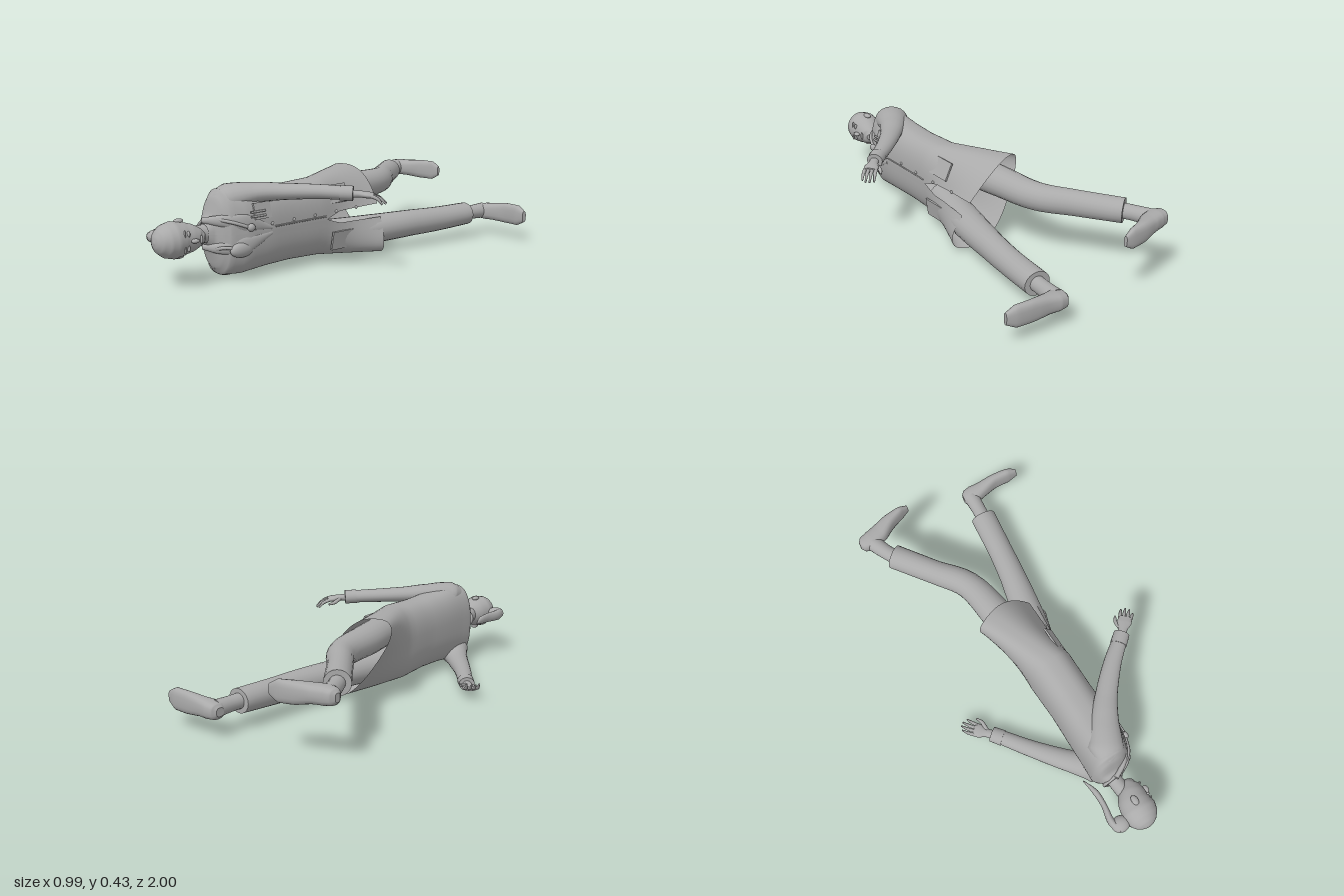
import * as THREE from 'three';

const grey = new THREE.MeshStandardMaterial({ color: 0xaaaaaa, side: THREE.DoubleSide });
grey.name = 'grey';

const spow = (v, e) => Math.sign(v) * Math.abs(v) ** e;
const lerp = THREE.MathUtils.lerp;

// Joins rings of n points each into a skin
function skin(rings, closed, caps) {
  const n = rings[0].length, pos = [], idx = [];
  rings.forEach(r => r.forEach(p => pos.push(p.x, p.y, p.z)));
  for (let i = 0; i < rings.length - 1; i++) {
    for (let j = 0; j < (closed ? n : n - 1); j++) {
      const k = (j + 1) % n, a = i * n, b = a + n;
      idx.push(a + j, b + j, b + k, a + j, b + k, a + k);
    }
  }
  if (caps) [rings[0], rings[rings.length - 1]].forEach((r, end) => {
    const base = pos.length / 3, c = new THREE.Vector3();
    r.forEach(p => { c.addScaledVector(p, 1 / n); pos.push(p.x, p.y, p.z); });
    pos.push(c.x, c.y, c.z);
    for (let j = 0; j < n; j++) {
      const k = (j + 1) % n;
      idx.push(base + n, base + (end ? k : j), base + (end ? j : k));
    }
  });
  const g = new THREE.BufferGeometry();
  g.setAttribute('position', new THREE.Float32BufferAttribute(pos, 3));
  g.setIndex(idx);
  g.computeVertexNormals();
  return g;
}

// Smooth limb through stations [x, y, z, half width, half height]
function limb(stations, { sides = 20, steps = 5, e = 1 } = {}) {
  const path = new THREE.CatmullRomCurve3(stations.map(s => new THREE.Vector3(s[0], s[1], s[2])));
  const total = (stations.length - 1) * steps, rings = [], Y = new THREE.Vector3(0, 1, 0);
  for (let i = 0; i <= total; i++) {
    const t = i / total, f = t * (stations.length - 1), k = Math.min(Math.floor(f), stations.length - 2);
    const a = lerp(stations[k][3], stations[k + 1][3], f - k), b = lerp(stations[k][4], stations[k + 1][4], f - k);
    const p = path.getPoint(t), T = path.getTangent(t);
    const side = T.clone().cross(Y).normalize(), up = side.clone().cross(T);
    rings.push(Array.from({ length: sides }, (_, j) => {
      const q = j / sides * Math.PI * 2;
      return p.clone().addScaledVector(side, a * spow(Math.cos(q), e)).addScaledVector(up, b * spow(Math.sin(q), e));
    }));
  }
  return skin(rings, true, true);
}

// Coat sections: [z, centre x, half depth, half width]
const MID = 0.22, E = 0.8;
const coat = [
  [0.735, -0.03, 0.042, 0.045], [0.705, -0.03, 0.058, 0.08], [0.685, -0.02, 0.08, 0.155],
  [0.66, -0.012, 0.1, 0.195], [0.58, 0.005, 0.112, 0.198], [0.45, 0.012, 0.115, 0.185],
  [0.3, 0.015, 0.112, 0.18], [0.12, 0.015, 0.115, 0.187], [-0.05, 0.01, 0.12, 0.197], [-0.22, 0.01, 0.13, 0.205]];

function section(z) {
  let k = 0;
  while (k < coat.length - 2 && z < coat[k + 1][0]) k++;
  const f = (z - coat[k][0]) / (coat[k + 1][0] - coat[k][0]);
  return [1, 2, 3].map(i => lerp(coat[k][i], coat[k + 1][i], f));
}
const flare = z => THREE.MathUtils.clamp((0.12 - z) / 0.34, 0, 1);

// The stride swings the two sides of the skirt apart
function coatPoint(z, q) {
  const [cx, a, b] = section(z), t = flare(z);
  const c = spow(Math.cos(q), E), s = spow(Math.sin(q), E);
  return new THREE.Vector3(cx + a * c - 0.6 * t * b * s, MID + b * s, z - t * t * 0.045 * s * c);
}
function frontX(z, y) {
  const s = (y - MID) / section(z)[2];
  const q = Math.asin(spow(THREE.MathUtils.clamp(s, -1, 1), 1 / E));
  return coatPoint(z, q).x;
}
function coatGeometry() {
  const rings = [], n = 56;
  for (let k = 0; k < coat.length - 1; k++) {
    for (let i = k ? 1 : 0; i <= 4; i++) {
      const z = lerp(coat[k][0], coat[k + 1][0], i / 4), gap = 0.09 * Math.min(1, flare(z) * 4);
      rings.push(Array.from({ length: n + 1 }, (_, j) => coatPoint(z, lerp(gap, Math.PI * 2 - gap, j / n))));
    }
  }
  return skin(rings, false, false);
}

export function createModel() {
  const root = new THREE.Group();
  root.name = 'lyingFigure';
  const add = (name, geo, x = 0, y = 0, z = 0, s = [1, 1, 1]) => {
    const m = new THREE.Mesh(geo, grey);
    m.name = name;
    m.position.set(x, y, z);
    m.scale.set(...s);
    root.add(m);
    return m;
  };
  const ball = (name, x, y, z, s) => add(name, new THREE.SphereGeometry(1, 20, 14), x, y, z, s);

  add('coat', coatGeometry());

  // Head, neck and face
  add('neck', limb([[-0.03, MID, 0.69, 0.045, 0.05], [-0.03, MID, 0.74, 0.036, 0.04], [-0.025, MID, 0.82, 0.036, 0.042]]));
  add('head', limb([[0.034, MID, 0.768, 0.012, 0.014], [0.022, MID, 0.78, 0.038, 0.036], [0.004, MID, 0.815, 0.06, 0.06],
    [-0.012, MID, 0.86, 0.076, 0.074], [-0.018, MID, 0.91, 0.084, 0.083], [-0.02, MID, 0.95, 0.075, 0.073],
    [-0.02, MID, 0.98, 0.052, 0.05], [-0.02, MID, 0.995, 0.025, 0.025], [-0.02, MID, 1.0, 0.002, 0.002]], { sides: 28 }));
  ball('nose', 0.066, MID, 0.845, [0.014, 0.01, 0.02]);
  ball('mouth', 0.058, MID, 0.806, [0.007, 0.02, 0.006]);
  for (const s of [1, -1]) {
    ball('eye', 0.054, MID + s * 0.032, 0.872, [0.009, 0.014, 0.007]);
    ball('eyebrow', 0.056, MID + s * 0.034, 0.892, [0.007, 0.018, 0.004]);
    ball('ear', -0.022, MID + s * 0.078, 0.87, [0.016, 0.011, 0.025]);
  }

  // Ponytail
  ball('hairKnot', -0.125, MID, 0.915, [0.045, 0.03, 0.04]);
  add('ponytail', limb([[-0.135, MID, 0.94, 0.02, 0.022], [-0.155, MID, 0.89, 0.018, 0.028], [-0.14, MID, 0.8, 0.013, 0.025],
    [-0.138, MID, 0.73, 0.014, 0.02], [-0.155, MID, 0.655, 0.003, 0.005]]));

  // Sleeves and cuffs
  add('leftSleeve', limb([[-0.035, 0.34, 0.645, 0.05, 0.06], [-0.005, 0.365, 0.605, 0.085, 0.07], [0.06, 0.388, 0.5, 0.065, 0.046],
    [0.135, 0.39, 0.405, 0.052, 0.038], [0.25, 0.39, 0.29, 0.042, 0.033], [0.35, 0.386, 0.21, 0.035, 0.031]]));
  add('leftCuff', limb([[0.325, 0.387, 0.23, 0.04, 0.035], [0.37, 0.385, 0.193, 0.038, 0.034]]));
  add('rightSleeve', limb([[-0.02, 0.1, 0.645, 0.05, 0.06], [-0.04, 0.075, 0.605, 0.08, 0.068], [-0.12, 0.053, 0.515, 0.055, 0.045],
    [-0.24, 0.052, 0.365, 0.042, 0.036], [-0.35, 0.05, 0.21, 0.035, 0.031]]));
  add('rightCuff', limb([[-0.335, 0.05, 0.232, 0.04, 0.034], [-0.37, 0.05, 0.185, 0.038, 0.033]]));

  // Hands: palm, four curled fingers and a thumb
  const hand = (name, wx, wy, wz, dir, curl) => {
    const d = new THREE.Vector2(...dir).normalize(), w = new THREE.Vector2(-d.y, d.x);
    const at = (f, s, h, a, b) => [wx + d.x * f + w.x * s, wy + h, wz + d.y * f + w.y * s, a, b];
    const small = { sides: 10, steps: 4 };
    add(name + 'Palm', limb([at(-0.02, 0, 0, 0.021, 0.018), at(0.02, 0, 0, 0.022, 0.015),
      at(0.055, 0, curl * 0.08, 0.035, 0.015), at(0.085, 0, curl * 0.15, 0.033, 0.012)]));
    for (let i = 0; i < 4; i++) {
      const s = (i - 1.5) * 0.017, l = [0.058, 0.068, 0.066, 0.05][i];
      add(name + 'Finger', limb([at(0.075, s, curl * 0.13, 0.009, 0.009), at(0.075 + l * 0.55, s * 1.1, curl * 0.4, 0.008, 0.008),
        at(0.075 + l, s * 1.15, curl, 0.004, 0.004)], small));
    }
    const t = dir[0] > 0 ? -1 : 1;
    add(name + 'Thumb', limb([at(0.025, t * 0.015, curl * 0.1, 0.011, 0.011), at(0.055, t * 0.042, curl * 0.4, 0.009, 0.009),
      at(0.085, t * 0.05, curl * 0.55, 0.005, 0.005)], small));
  };
  hand('leftHand', 0.375, 0.383, 0.19, [1, -0.95], -0.043);
  hand('rightHand', -0.375, 0.05, 0.18, [-0.72, -0.8], 0.044);

  // Trousers, ankles and shoes
  add('leftTrouser', limb([[0.01, 0.315, 0.12, 0.08, 0.075], [-0.05, 0.315, -0.2, 0.08, 0.073], [-0.09, 0.312, -0.45, 0.066, 0.066],
    [-0.19, 0.308, -0.6, 0.058, 0.062], [-0.315, 0.306, -0.785, 0.06, 0.058]]));
  add('leftAnkle', limb([[-0.3, 0.305, -0.76, 0.036, 0.036], [-0.335, 0.305, -0.83, 0.036, 0.036], [-0.365, 0.305, -0.91, 0.04, 0.04]]));
  add('leftShoe', limb([[-0.426, 0.305, -0.93, 0.014, 0.02], [-0.41, 0.305, -0.928, 0.035, 0.035], [-0.37, 0.305, -0.925, 0.046, 0.042],
    [-0.31, 0.305, -0.938, 0.045, 0.042], [-0.24, 0.302, -0.965, 0.032, 0.05], [-0.165, 0.3, -0.98, 0.019, 0.05],
    [-0.122, 0.3, -0.983, 0.009, 0.025]], { e: 0.75 }));
  add('rightTrouser', limb([[0.02, 0.12, 0.12, 0.08, 0.075], [0.105, 0.122, -0.2, 0.08, 0.072], [0.158, 0.127, -0.44, 0.066, 0.066],
    [0.185, 0.127, -0.6, 0.062, 0.062], [0.213, 0.132, -0.807, 0.064, 0.057]]));
  add('rightAnkle', limb([[0.21, 0.132, -0.78, 0.037, 0.036], [0.218, 0.132, -0.86, 0.036, 0.036], [0.225, 0.132, -0.94, 0.04, 0.04]]));
  add('rightShoe', limb([[0.185, 0.128, -0.955, 0.02, 0.02], [0.2, 0.128, -0.953, 0.04, 0.036], [0.24, 0.13, -0.95, 0.046, 0.042],
    [0.29, 0.133, -0.951, 0.036, 0.044], [0.37, 0.136, -0.955, 0.026, 0.052], [0.45, 0.136, -0.946, 0.023, 0.052],
    [0.498, 0.136, -0.937, 0.012, 0.028]], { e: 0.75 }));

  // Lapels and collar
  for (const s of [1, -1]) {
    add('lapel', limb([[-0.03, MID + s * 0.06, 0.735, 0.012, 0.012], [0.045, MID + s * 0.062, 0.69, 0.014, 0.026],
      [frontX(0.6, MID + s * 0.05) - 0.003, MID + s * 0.05, 0.6, 0.01, 0.038],
      [frontX(0.46, MID) - 0.006, MID + s * 0.012, 0.46, 0.008, 0.01]]));
  }

  // Buttons, front seam and pockets
  for (const z of [0.46, 0.33, 0.2, 0.06, -0.08]) ball('button', frontX(z, 0.25), 0.25, z, [0.006, 0.008, 0.008]);
  const seam = [0.45, 0.35, 0.25, 0.13].map(z => new THREE.Vector3(frontX(z, 0.235), 0.235, z));
  add('frontSeam', new THREE.TubeGeometry(new THREE.CatmullRomCurve3(seam), 16, 0.004, 6));
  const plate = (name, y, z, h, l) => {
    const m = add(name, new THREE.BoxGeometry(0.009, h, l), frontX(z, y), y, z);
    m.rotation.z = Math.atan2(frontX(z, y - 0.02) - frontX(z, y + 0.02), 0.04);
    return m;
  };
  plate('chestPocket', 0.315, 0.51, 0.075, 0.095);
  plate('leftPocket', 0.33, 0.03, 0.09, 0.13);
  plate('rightPocket', 0.11, 0.03, 0.09, 0.13);
  for (const y of [0.295, 0.315]) {
    add('pen', limb([[frontX(0.5, y) + 0.008, y, 0.5, 0.005, 0.005], [frontX(0.58, y) + 0.01, y, 0.58, 0.005, 0.005]], { sides: 8 }));
  }

  // Listening tube round the neck with its end pieces
  const loop = [[0.125, 0.25, 0.59], [0.085, 0.28, 0.67], [-0.02, 0.285, 0.725], [-0.085, MID, 0.725],
    [-0.02, 0.155, 0.725], [0.085, 0.165, 0.68], [0.115, 0.15, 0.63]].map(p => new THREE.Vector3(...p));
  add('neckTube', new THREE.TubeGeometry(new THREE.CatmullRomCurve3(loop), 60, 0.008, 8));
  ball('chestPiece', 0.128, 0.25, 0.585, [0.015, 0.018, 0.02]);
  ball('chestPad', 0.098, 0.15, 0.615, [0.025, 0.035, 0.065]);
  return root;
}
